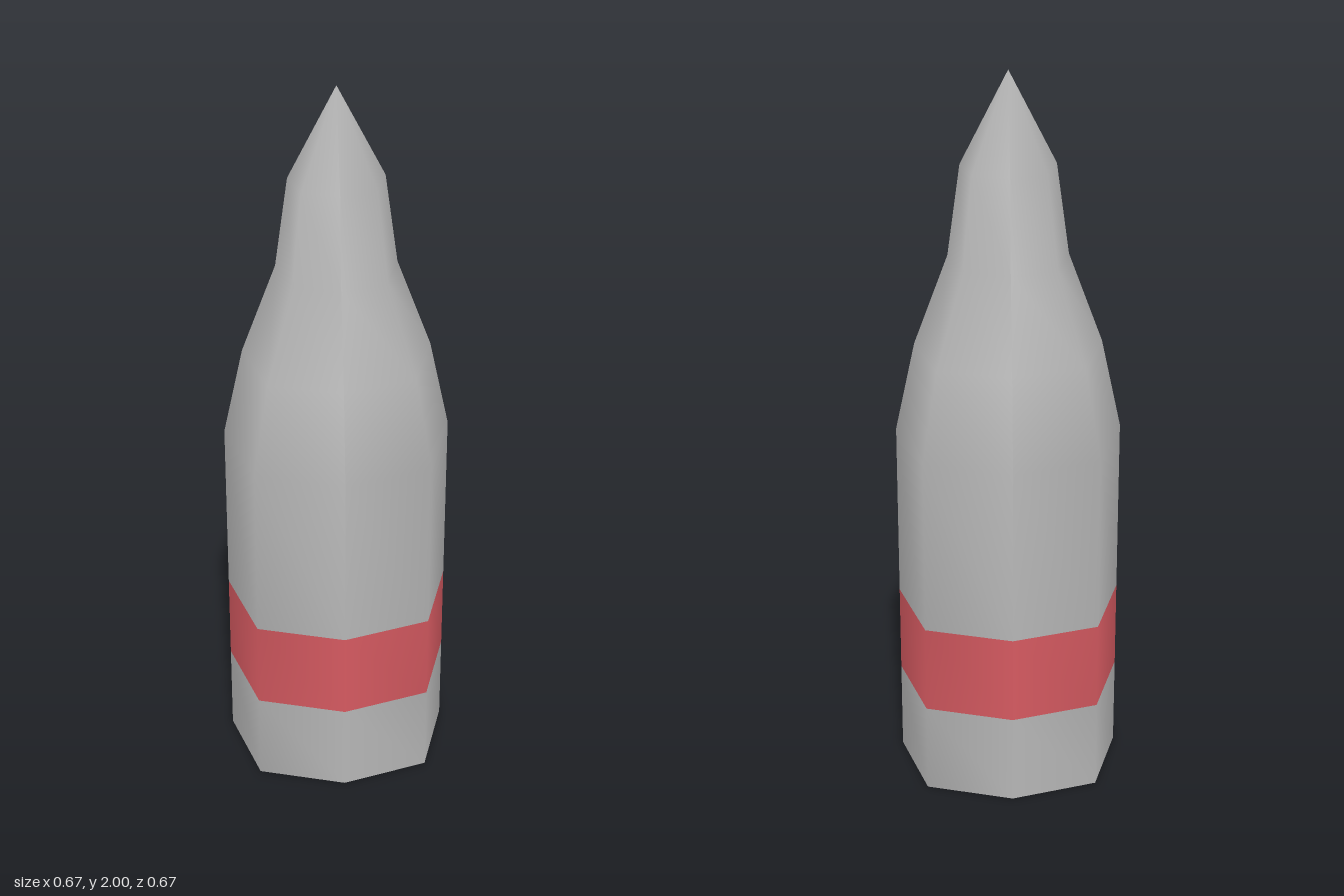
import * as THREE from 'three';
import { mergeVertices } from 'three/addons/utils/BufferGeometryUtils.js';

const casing = new THREE.MeshStandardMaterial({ color: 0xb8b8b8 });
casing.name = 'casing grey';
const red = new THREE.MeshStandardMaterial({ color: 0xd85b62 });
red.name = 'band red';

// Radius and height of each ring, bottom to tip
const profile = [
  [0.333, 0], [0.333, 0.255], [0.333, 0.503], [0.333, 1],
  [0.275, 1.25], [0.175, 1.5], [0.138, 1.75], [0, 2],
].map(([r, y]) => new THREE.Vector2(r, y));
const BAND_ROW = 1;

// Pull the diagonal corners in slightly, giving the uneven octagon
function squeezeDiagonals(geometry, a, b) {
  const p = geometry.attributes.position;
  for (let i = 0; i < p.count; i++) {
    const u = p.getComponent(i, a), v = p.getComponent(i, b);
    if (Math.abs(Math.abs(u) - Math.abs(v)) < 1e-4) {
      p.setComponent(i, a, u * 0.917);
      p.setComponent(i, b, v * 0.917);
    }
  }
}

// One quarter of the shell: two facets wide, smooth inside, sharp at its borders
function quarterPanel() {
  const lathe = new THREE.LatheGeometry(profile, 2, -Math.PI / 4, Math.PI / 2);
  squeezeDiagonals(lathe, 0, 2);
  lathe.deleteAttribute('uv');
  lathe.deleteAttribute('normal');
  const geometry = mergeVertices(lathe);
  geometry.computeVertexNormals();
  geometry.clearGroups();
  const rows = profile.length - 1;
  for (let side = 0; side < 2; side++) {
    for (let row = 0; row < rows; row++) {
      geometry.addGroup((side * rows + row) * 6, 6, row === BAND_ROW ? 1 : 0);
    }
  }
  return geometry;
}

export function createModel() {
  const group = new THREE.Group();
  group.name = 'shell';

  // Four panels around the axis, each with its part of the red band
  const panel = quarterPanel();
  ['front', 'left', 'back', 'right'].forEach((side, i) => {
    const mesh = new THREE.Mesh(panel, [casing, red]);
    mesh.name = side + 'Panel';
    mesh.rotation.y = (i * Math.PI) / 2;
    group.add(mesh);
  });

  // Flat underside
  const disc = new THREE.CircleGeometry(0.333, 8);
  squeezeDiagonals(disc, 0, 1);
  disc.rotateX(Math.PI / 2);
  const base = new THREE.Mesh(disc, casing);
  base.name = 'base';
  group.add(base);

  return group;
}
